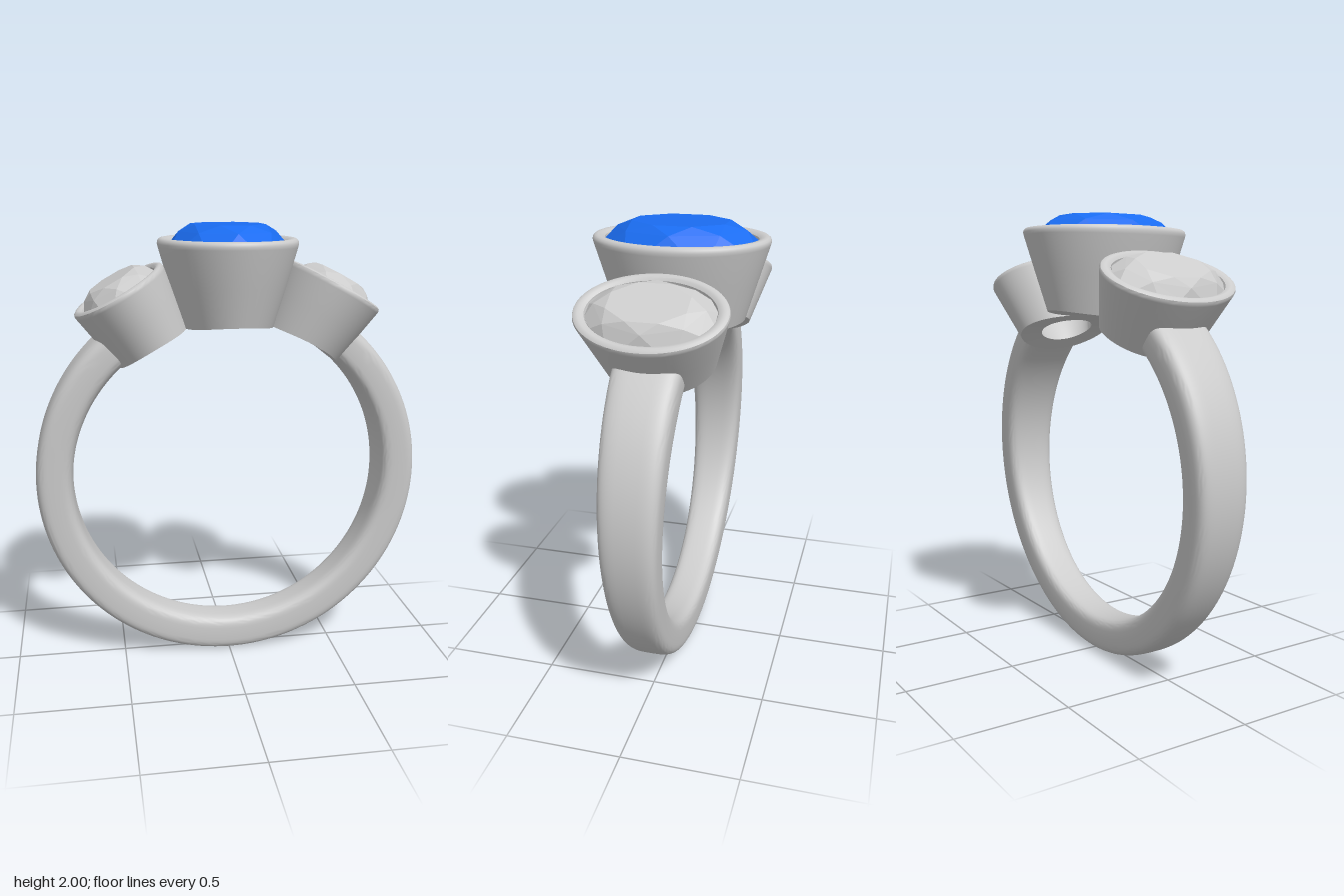
import * as THREE from 'three';
import { toCreasedNormals } from 'three/addons/utils/BufferGeometryUtils.js';
import { ConvexGeometry } from 'three/addons/geometries/ConvexGeometry.js';

const FINGER_R = 0.71, OUTER_R = 0.875, CENTRE_Y = 0.875;

// Skins a list of equally long closed rings of Vector3
function loft(rings, crease) {
  const n = rings[0].length, index = [];
  for (let i = 0; i < rings.length - 1; i++) {
    for (let j = 0; j < n; j++) {
      const k = (j + 1) % n;
      const a = i * n + j, b = a + n, c = i * n + k, d = c + n;
      index.push(a, b, c, b, d, c);
    }
  }
  const geo = new THREE.BufferGeometry().setFromPoints(rings.flat());
  geo.setIndex(index);
  return toCreasedNormals(geo, crease);
}

// Open band, wider towards the settings, with a softly rounded section
function bandGeometry() {
  const from = THREE.MathUtils.degToRad(131), to = THREE.MathUtils.degToRad(409);
  const mid = (OUTER_R + FINGER_R) / 2, half = (OUTER_R - FINGER_R) / 2;
  const soft = (v) => Math.sign(v) * Math.sqrt(Math.abs(v));
  const section = (phi, size) => {
    const width = 0.087 + 0.038 * (CENTRE_Y + mid * Math.sin(phi));
    return Array.from({ length: 48 }, (_, j) => {
      const psi = (j / 48) * Math.PI * 2;
      const r = mid + half * size * soft(Math.cos(psi));
      return new THREE.Vector3(r * Math.cos(phi), r * Math.sin(phi), width * size * soft(Math.sin(psi)));
    });
  };
  const rings = [section(from, 0)];
  for (let i = 0; i <= 120; i++) rings.push(section(from + ((to - from) * i) / 120, 1));
  rings.push(section(to, 0));
  return loft(rings, 0.7);
}

// Oval tapered cup whose underside follows the finger hole
function bezelGeometry({ rim, top, bottom, stone, hole }) {
  const wall = (a, b, f) => [a[0] + (b[0] - a[0]) * f, a[1] + (b[1] - a[1]) * f];
  const grow = (p, d) => [p[0] + d, p[1] + d];
  // each station: oval radii and height from underside (0) to rim (1)
  const stations = [
    [bottom, 0], [wall(bottom, top, 0.5), 0.47], [wall(bottom, top, 0.97), 0.91],
    [top, 0.945], [grow(top, -0.003), 0.975], [grow(top, -0.012), 0.995], [grow(top, -0.024), 1],
    [grow(stone, 0.014), 0.99], [grow(stone, 0.003), 0.965], [stone, 0.92],
    [grow(stone, -0.015), 0.82], [wall(hole, stone, 0.15), 0.35], [hole, 0], [bottom, 0],
  ];
  const rings = stations.map(([[rx, rz], t]) => Array.from({ length: 72 }, (_, j) => {
    const a = (j / 72) * Math.PI * 2, x = rx * Math.cos(a);
    const base = Math.sqrt(FINGER_R ** 2 - x * x);
    return new THREE.Vector3(x, base + (rim - base) * t, rz * Math.sin(a));
  }));
  return loft(rings, 0.65);
}

// Faceted oval stone: table, crown, girdle, pavilion and culet
function stoneGeometry({ stone, girdle, table, depth }) {
  const points = [new THREE.Vector3(0, girdle - depth, 0)];
  const ring = (count, scale, y, shift) => {
    for (let i = 0; i < count; i++) {
      const a = ((i + shift) / count) * Math.PI * 2;
      points.push(new THREE.Vector3(stone[0] * scale * Math.cos(a), y, stone[1] * scale * Math.sin(a)));
    }
  };
  const rise = table - girdle;
  ring(8, 0.66, table, 0.5);
  ring(8, 0.86, girdle + rise * 0.62, 0);
  ring(16, 1.01, girdle, 0.5);
  ring(16, 1.01, girdle - 0.01, 0.5);
  ring(8, 0.6, girdle - depth * 0.5, 0.5);
  return new ConvexGeometry(points);
}

export function createModel() {
  const metal = new THREE.MeshStandardMaterial({ color: 0xcccccc });
  const clear = new THREE.MeshStandardMaterial({ color: 0xcccccc, flatShading: true });
  const blue = new THREE.MeshStandardMaterial({ color: 0x1a6cf0, flatShading: true });

  const model = new THREE.Group();
  model.name = 'threeStoneRing';
  const ring = new THREE.Group();
  ring.name = 'ring';
  ring.position.y = CENTRE_Y;
  model.add(ring);

  const add = (parent, name, geometry, material) => {
    const mesh = new THREE.Mesh(geometry, material);
    mesh.name = name;
    parent.add(mesh);
  };
  add(ring, 'band', bandGeometry(), metal);

  // Settings are placed radially around the finger axis
  const addSetting = (name, spec, material, tilt) => {
    const setting = new THREE.Group();
    setting.name = name + 'Setting';
    setting.rotation.z = tilt;
    add(setting, name + 'Bezel', bezelGeometry(spec), metal);
    add(setting, name + 'Stone', stoneGeometry(spec), material);
    ring.add(setting);
  };
  const centre = {
    rim: 1.067, top: [0.307, 0.384], bottom: [0.2, 0.28], stone: [0.25, 0.328],
    hole: [0.11, 0.15], girdle: 1.045, table: 1.125, depth: 0.16,
  };
  const side = {
    rim: 0.987, top: [0.222, 0.315], bottom: [0.175, 0.238], stone: [0.177, 0.264],
    hole: [0.1, 0.13], girdle: 0.968, table: 1.03, depth: 0.12,
  };
  const tilt = THREE.MathUtils.degToRad(29.5);
  addSetting('centre', centre, blue, 0);
  addSetting('left', side, clear, -tilt);
  addSetting('right', side, clear, tilt);
  return model;
}
